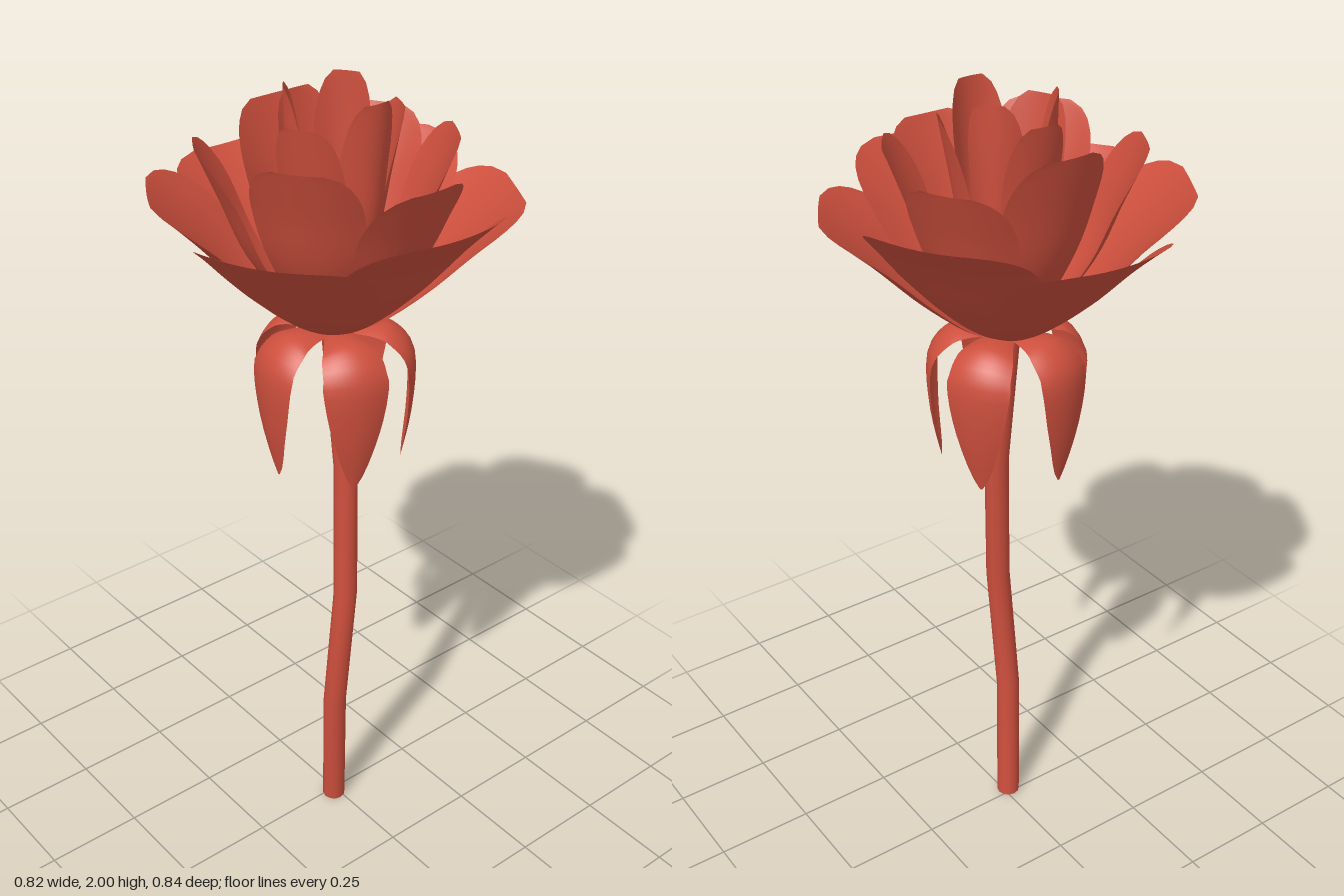
import * as THREE from 'three';

const material = new THREE.MeshStandardMaterial({ color: 0xcd4f3d, side: THREE.DoubleSide });
const rad = THREE.MathUtils.degToRad;

// A curved blade along +z: the profile holds (radius, height) points,
// width(t) is the half-width, cup(t) lifts the side edges off the midrib.
function blade(name, profile, width, cup, angle) {
  const curve = new THREE.SplineCurve(profile.map(([r, y]) => new THREE.Vector2(r, y)));
  const geometry = new THREE.PlaneGeometry(2, 1, 12, 20);
  const pos = geometry.attributes.position;
  for (let i = 0; i < pos.count; i++) {
    const v = pos.getX(i);
    const t = pos.getY(i) + 0.5;
    const p = curve.getPoint(t);
    const d = curve.getTangent(t);
    const lift = cup(t) * v * v;
    pos.setXYZ(i, v * width(t), p.y + d.x * lift, p.x - d.y * lift);
  }
  geometry.computeVertexNormals();
  const mesh = new THREE.Mesh(geometry, material);
  mesh.name = name;
  mesh.rotation.y = rad(angle);
  return mesh;
}

// Fan-shaped petal: narrow foot, cupped flanks, blunt flat tip
function petal(name, [angle, reach, tipY, halfWidth], shape, depth) {
  const base = 1.44;
  const profile = shape.map(([r, h]) => [r * reach, base + h * (tipY - base)]);
  const width = t => halfWidth * (t < 0.75
    ? 0.04 + 0.96 * Math.pow(Math.sin(t / 0.75 * Math.PI / 2), 1.4)
    : Math.sqrt(1 - 0.8 * ((t - 0.75) / 0.25) ** 2));
  const cup = t => depth * halfWidth * Math.sin(Math.PI * Math.pow(t, 1.5) * 0.97);
  return blade(name, profile, width, cup, angle);
}

export function createModel() {
  const model = new THREE.Group();
  model.name = 'flower';

  // Bent stem in four straight runs, with a closed foot
  const path = new THREE.CatmullRomCurve3([
    [-0.012, 0, 0.012], [-0.03, 0.35, 0.038], [-0.016, 0.69, 0.062],
    [0.006, 1.04, 0.038], [-0.01, 1.43, 0.01],
  ].map(p => new THREE.Vector3(...p)));
  const stem = new THREE.Mesh(new THREE.TubeGeometry(path, 4, 0.03, 12), material);
  stem.name = 'stem';
  const foot = new THREE.Mesh(new THREE.CircleGeometry(0.03, 12), material);
  foot.name = 'stemFoot';
  foot.rotation.x = Math.PI / 2;
  foot.position.set(-0.012, 0.001, 0.012);
  model.add(stem, foot);

  // Five drooping sepals under the bloom
  const sepals = new THREE.Group();
  sepals.name = 'sepals';
  const droop = [[0, 1.43], [0.08, 1.445], [0.14, 1.435], [0.188, 1.37], [0.185, 1.23], [0.16, 1.09]];
  const sepalWidth = t => t < 0.6
    ? 0.02 + 0.055 * Math.sin(t / 0.6 * Math.PI / 2)
    : 0.075 * (1 - ((t - 0.6) / 0.4) ** 1.7) + 0.003;
  const sepalCup = t => -0.02 * Math.sin(Math.PI * t);
  for (let i = 0; i < 5; i++) {
    sepals.add(blade('sepal', droop, sepalWidth, sepalCup, -94 + i * 72));
  }
  sepals.position.set(-0.005, 0, 0.005);
  model.add(sepals);

  // Petal rings, outside in; each petal is [angle, reach, tip height, half-width]
  const open = [[0, 0], [0.2, 0.03], [0.5, 0.34], [0.78, 0.72], [1, 1]];
  const upright = [[0, 0], [0.3, 0.1], [0.65, 0.42], [0.85, 0.75], [1, 1]];
  const closed = [[0, 0], [0.4, 0.12], [0.85, 0.45], [0.97, 0.75], [1, 1]];
  const rings = [
    ['outerPetal', open, 0.26, [
      [0, 0.418, 1.79, 0.195], [60, 0.415, 1.74, 0.2], [120, 0.395, 1.79, 0.195],
      [180, 0.418, 1.75, 0.195], [240, 0.41, 1.78, 0.2], [300, 0.415, 1.75, 0.195]]],
    ['middlePetal', upright, 0.28, [
      [0, 0.325, 1.86, 0.13], [57, 0.27, 1.89, 0.125], [120, 0.295, 1.87, 0.125],
      [180, 0.23, 1.92, 0.125], [240, 0.305, 1.88, 0.125], [305, 0.275, 1.9, 0.125]]],
    ['innerPetal', upright, 0.35, [
      [65, 0.15, 1.95, 0.08], [180, 0.135, 1.96, 0.075], [295, 0.16, 1.95, 0.08]]],
    ['heartPetal', closed, 0.6, [
      [0, 0.143, 1.995, 0.07], [125, 0.1, 2.0, 0.066], [235, 0.11, 2.0, 0.066]]],
  ];
  for (const [name, shape, depth, list] of rings) {
    const ring = new THREE.Group();
    ring.name = name + 'Ring';
    list.forEach(p => ring.add(petal(name, p, shape, depth)));
    model.add(ring);
  }
  return model;
}
